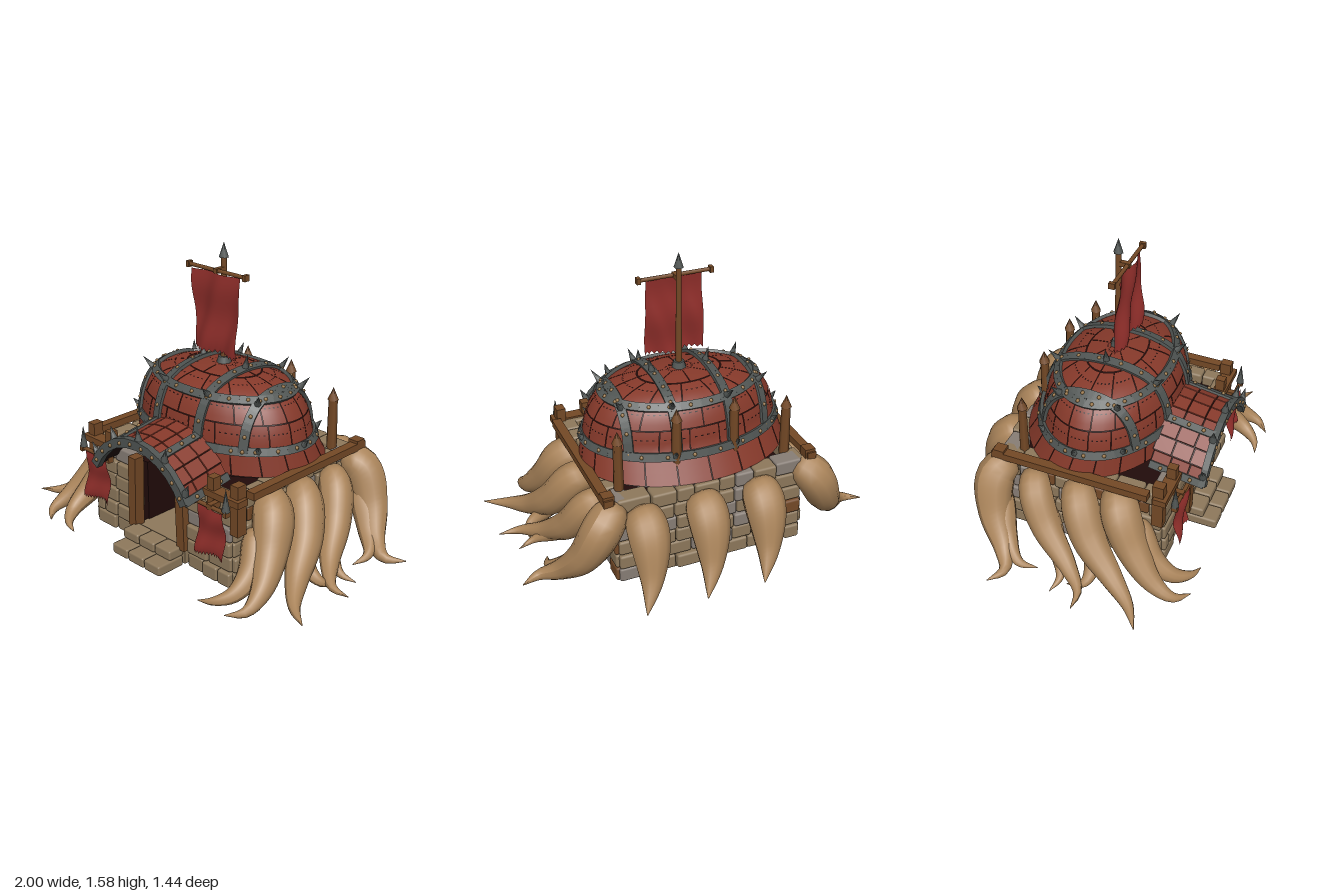
import * as THREE from 'three';
import { mergeGeometries } from 'three/addons/utils/BufferGeometryUtils.js';
import { RoundedBoxGeometry } from 'three/addons/geometries/RoundedBoxGeometry.js';

const V = (x, y, z) => new THREE.Vector3(x, y, z);
const material = (name, color, side = THREE.FrontSide) => {
  const m = new THREE.MeshStandardMaterial({ color, side });
  m.name = name;
  return m;
};

// Small repeatable random source
let seed = 7;
const rand = () => (seed = (seed * 16807) % 2147483647) / 2147483647;

const box = (w, h, d, x, y, z) => new THREE.BoxGeometry(w, h, d).translate(x, y, z);
const stone = (w, h, d, x, y, z) => new RoundedBoxGeometry(w, h, d, 1, 0.012).translate(x, y, z);

// Flat bar from a to b whose upper face looks along up
function bar(a, b, up, w, th, extra = 0.006) {
  const dir = b.clone().sub(a), len = dir.length();
  dir.normalize();
  const side = up.clone().cross(dir).normalize();
  const m = new THREE.Matrix4().makeBasis(side, dir.clone().cross(side), dir);
  m.setPosition(a.clone().add(b).multiplyScalar(0.5));
  return new THREE.BoxGeometry(w, th, len + extra).applyMatrix4(m);
}
function spike(p, dir, h = 0.09, r = 0.022) {
  const q = new THREE.Quaternion().setFromUnitVectors(V(0, 1, 0), dir.clone().normalize());
  return new THREE.ConeGeometry(r, h, 6).translate(0, h / 2, 0).applyQuaternion(q).translate(p.x, p.y, p.z);
}
const rivet = (p) => new THREE.SphereGeometry(0.011, 6, 4).translate(p.x, p.y, p.z);

// Oval dome: relative radius against height; the skirt flares backwards
const RX = 0.575, RZ = 0.38, CZ = 0.04;
const profile = new THREE.SplineCurve([[1, 0.5], [0.94, 0.63], [0.88, 0.76], [0.72, 0.87], [0.4, 0.925], [0.001, 0.945]]
  .map(([x, y]) => new THREE.Vector2(x, y)));
function domePoint(a, t, s = 1) {
  const p = profile.getPoint(t), f = Math.min(1, (p.y - 0.5) / 0.16);
  const rz = RZ + 0.03 * (1 - f);
  return V(Math.sin(a) * p.x * RX * s, p.y - (1 - s) * 0.5, CZ * f + Math.cos(a) * p.x * rz * s);
}
const domeNormal = (p) => V(p.x / RX ** 2, (p.y - 0.45) / 0.23, (p.z - CZ) / RZ ** 2).normalize();
function onDome(x, z) {
  const r = Math.hypot(x / RX, (z - CZ) / RZ);
  let lo = 0, hi = 1;
  for (let i = 0; i < 24; i++) {
    const mid = (lo + hi) / 2;
    if (profile.getPoint(mid).x > r) lo = mid; else hi = mid;
  }
  return V(x, profile.getPoint(lo).y, z);
}
// Patch of the dome between angles and profile heights
function domePatch(a0, a1, t0, t1, s, nu, nv) {
  const g = new THREE.PlaneGeometry(1, 1, nu, nv), p = g.attributes.position;
  for (let k = 0; k < p.count; k++) {
    const q = domePoint(a0 + (a1 - a0) * (p.getX(k) + 0.5), t0 + (t1 - t0) * (p.getY(k) + 0.5), s);
    p.setXYZ(k, q.x, q.y, q.z);
  }
  g.computeVertexNormals();
  return g;
}

// Curved tusk with a fat root and thin tip, clipped at the ground
function tusk(points, radius, peak = 0.45) {
  const curve = new THREE.CatmullRomCurve3(points.map((p) => V(...p)));
  const n = 24, m = 12, g = new THREE.TubeGeometry(curve, n, radius, m);
  const pos = g.attributes.position, v = V();
  for (let i = 0; i <= n; i++) {
    const c = curve.getPointAt(i / n), f = Math.max(0.01, Math.sin(Math.PI * (i / n) ** peak)) ** 0.85;
    for (let j = 0; j <= m; j++) {
      const k = i * (m + 1) + j;
      v.fromBufferAttribute(pos, k).sub(c).multiplyScalar(f).add(c);
      pos.setXYZ(k, v.x, Math.max(v.y, 0.003), v.z);
    }
  }
  g.computeVertexNormals();
  return g;
}

// Hanging cloth with folds and a ragged hem
function cloth(w, h, x, top, z) {
  const g = new THREE.PlaneGeometry(w, h, 24, 12), p = g.attributes.position;
  for (let i = 0; i < p.count; i++) {
    const down = 0.5 - p.getY(i) / h;
    p.setZ(i, Math.sin(p.getX(i) * 30 + down * 4) * (0.012 + 0.008 * down) + Math.sin(down * 9) * 0.006);
    if (down > 0.99) p.setY(i, p.getY(i) + (i % 2 ? 0.016 : 0));
  }
  g.computeVertexNormals();
  return g.translate(x, top - h / 2, z);
}

export function createModel() {
  seed = 7;
  const model = new THREE.Group();
  const red = material('red roof plate', 0x86392a), fabric = material('red cloth', 0x922f2b, THREE.DoubleSide);
  const iron = material('dark iron', 0x505553), horn = material('tan horn', 0xaa845a);
  const wood = material('brown wood', 0x744926), tan = material('tan stone', 0x8e795c);
  const grey = material('grey stone', 0x887e76), brown = material('brown stone', 0x754a28);
  const dark = material('dark interior', 0x210b0a), brass = material('brass rivet', 0x967242);
  const add = (name, mat, geos) => {
    const mesh = new THREE.Mesh(mergeGeometries(geos.map((g) => (g.index ? g.toNonIndexed() : g))), mat);
    mesh.name = name;
    model.add(mesh);
  };

  // Dark core with the doorway recess, and floor
  add('interior', dark, [
    box(0.33, 0.42, 0.82, 0.335, 0.23, 0.03), box(0.33, 0.42, 0.82, -0.335, 0.23, 0.03),
    box(0.36, 0.42, 0.48, 0, 0.23, -0.14), box(0.36, 0.03, 0.4, 0, 0.515, 0.24)]);
  add('floor', tan, [box(0.98, 0.02, 0.84, 0, 0.012, 0.02), box(0.36, 0.1, 0.42, 0, 0.055, 0.3)]);

  // Stone walls laid in courses
  const stones = [[], [], []];
  const wall = (from, to, brownShare, place) => {
    const rows = 6, h = 0.5 / rows;
    for (let r = 0; r < rows; r++) {
      for (let s = from; s < to - 0.01;) {
        let w = 0.09 + rand() * 0.07;
        if (to - s - w < 0.06) w = to - s;
        const pick = rand(), kind = pick < brownShare ? 2 : pick < brownShare + 0.22 ? 1 : 0;
        stones[kind].push(place(s + w / 2, (r + 0.5) * h, w - 0.004, h - 0.004, (rand() - 0.5) * 0.02));
        s += w;
      }
    }
  };
  wall(-0.52, 0.52, 0.1, (s, y, w, h, o) => stone(w, h, 0.1, s, y, -0.365 + o));
  for (const m of [-1, 1]) {
    wall(-0.4, 0.5, 0.12, (s, y, w, h, o) => stone(0.08, h, w, m * (0.49 + o), y, s));
    wall(0.2, 0.51, 0, (s, y, w, h, o) => stone(w, h, 0.08, m * s, y, 0.475 + o));
  }
  ['tanStones', 'greyStones', 'brownStones'].forEach((name, i) => add(name, [tan, grey, brown][i], stones[i]));
  const steps = [];
  for (let i = 0; i < 3; i++) {
    steps.push(stone(0.118, 0.058, 0.17, (i - 1) * 0.122, 0.03, 0.605), stone(0.118, 0.056, 0.1, (i - 1) * 0.122, 0.088, 0.565));
  }
  add('steps', tan, steps);

  // Dome: dark shell under separate plates, with rows of slits
  const base = new THREE.CircleGeometry(1, 40).rotateX(Math.PI / 2).scale(RX * 0.98, 1, 0.4).translate(0, 0.5, 0);
  add('domeSeams', dark, [domePatch(0, Math.PI * 2, 0, 1, 0.985, 60, 20), base]);
  const plates = [], slits = [];
  [20, 20, 18, 14, 8].forEach((n, row) => {
    const step = Math.PI * 2 / n;
    for (let i = 0; i < n; i++) {
      const a = (i + (row % 2) / 2) * step;
      plates.push(domePatch(a + 0.012 * step, a + 0.988 * step, (row + 0.015) / 5, (row + 0.985) / 5, 1, 4, 4));
      if (row === 0) continue;
      for (let k = 1; k < 5; k++) {
        const b = a + step * k / 5;
        slits.push(domePatch(b - 0.04 * step, b + 0.04 * step, (row + 0.6) / 5, (row + 0.65) / 5, 1.004, 1, 1));
      }
    }
  });
  add('domePlates', red, plates);
  add('domeSlits', dark, slits);

  // Iron bands, rivets and spikes
  const bands = [], rivets = [], spikes = [];
  const band = (pts, w, every) => pts.forEach((p, i) => {
    const up = domeNormal(p);
    if (i < pts.length - 1) bands.push(bar(p, pts[i + 1], up, w, 0.03));
    if (i % every === 1) rivets.push(rivet(p.clone().addScaledVector(up, 0.014)));
  });
  for (const t of [0.2, 0.585]) band(Array.from({ length: 49 }, (_, i) => domePoint(i * Math.PI / 24, t)), 0.045, 2);
  for (const x of [-0.38, -0.15, 0.15, 0.38]) {
    const reach = RZ * Math.sqrt(0.94 ** 2 - (x / RX) ** 2);
    band(Array.from({ length: 29 }, (_, i) => onDome(x, CZ + reach * Math.sin((i / 28 - 0.5) * Math.PI))), 0.05, 3);
    for (const z of Math.abs(x) < 0.2 ? [-0.26, 0, 0.26] : [-0.15, 0.15]) {
      const p = onDome(x, CZ + z);
      spikes.push(spike(p, domeNormal(p)));
    }
  }
  for (let i = 0; i < 10; i++) {
    const p = domePoint((i + 0.5) * Math.PI / 5, 0.2);
    spikes.push(spike(p, domeNormal(p).setY(1), 0.06));
  }

  // Arched porch roof sloping towards the front
  const R = 0.37, porch = [], lining = [];
  const arch = (a, z, r = R) => V(Math.sin(a) * r, 0.29 + Math.cos(a) * r + (0.65 - z) * 0.15, z);
  const radial = (a) => V(Math.sin(a), Math.cos(a), 0);
  const N = 10, span = 2.25, ang = (i) => (i / N - 0.5) * span, panel = R * span / N;
  for (let i = 0; i < N; i++) {
    const a = ang(i + 0.5);
    for (const z of [0.36, 0.46, 0.56]) porch.push(bar(arch(a, z + 0.003), arch(a, z + 0.097), radial(a), panel - 0.004, 0.02, 0));
    lining.push(bar(arch(a, 0.36, R - 0.011), arch(a, 0.65, R - 0.011), radial(a), panel, 0.014));
    bands.push(bar(arch(ang(i), 0.645), arch(ang(i + 1), 0.645), radial(a), 0.035, 0.05));
    rivets.push(rivet(arch(a, 0.662)));
  }
  for (const a of [-1.1, -0.42, 0.42, 1.1]) {
    bands.push(bar(arch(a, 0.36, R + 0.012), arch(a, 0.65, R + 0.012), radial(a), 0.04, 0.02));
    for (const z of [0.42, 0.5, 0.58]) rivets.push(rivet(arch(a, z, R + 0.024)));
  }
  for (const a of [-1, -0.5, 0, 0.5, 1]) spikes.push(spike(arch(a, 0.64, R + 0.02), V(Math.sin(a) * 0.6, 1, 0.1), 0.075));
  add('porchPlates', red, porch);
  add('porchLining', dark, lining);

  // Timber: side rails, posts, banner rods and flagpole
  const timber = [], cloths = [];
  const stake = (x, y0, y1, z) => timber.push(
    new THREE.CylinderGeometry(0.024, 0.028, y1 - y0 - 0.06, 6).translate(x, (y0 + y1 - 0.06) / 2, z),
    new THREE.ConeGeometry(0.03, 0.07, 6).translate(x, y1 - 0.03, z));
  const rod = (len, x, y, z) => timber.push(new THREE.CylinderGeometry(0.011, 0.011, len, 8).rotateZ(Math.PI / 2).translate(x, y, z),
    box(0.02, 0.032, 0.032, x - len / 2, y, z), box(0.02, 0.032, 0.032, x + len / 2, y, z));
  for (const m of [-1, 1]) {
    timber.push(
      box(0.05, 0.04, 0.86, m * 0.57, 0.51, 0.01), box(0.06, 0.07, 0.06, m * 0.565, 0.51, -0.38),
      box(0.05, 0.27, 0.06, m * 0.535, 0.44, 0.485), box(0.045, 0.15, 0.05, m * 0.385, 0.5, 0.5),
      box(0.24, 0.035, 0.07, m * 0.46, 0.49, 0.5), box(0.03, 0.03, 0.1, m * 0.43, 0.45, 0.53),
      box(0.055, 0.4, 0.06, 0, 0, 0).rotateZ(m * 0.03).translate(m * 0.18, 0.3, 0.515));
    stake(m * 0.47, 0.48, 0.83, -0.29);
    stake(m * 0.16, 0.55, 0.9, -0.31);
    rod(0.22, m * 0.43, 0.45, 0.57);
    spikes.push(spike(V(m * 0.535, 0.46, 0.57), V(0, 1, 0), 0.12));
    cloths.push(cloth(0.18, 0.27, m * 0.43, 0.445, 0.575));
  }
  timber.push(new THREE.CylinderGeometry(0.015, 0.018, 0.6, 8).translate(0, 1.21, 0.04), box(0.025, 0.025, 0.07, 0, 1.44, 0.07));
  rod(0.4, 0, 1.44, 0.09);
  cloths.push(cloth(0.32, 0.43, 0, 1.43, 0.1));
  spikes.push(spike(V(0, 1.5, 0.04), V(0, 1, 0), 0.08, 0.026));
  bands.push(new THREE.CylinderGeometry(0.03, 0.045, 0.05, 8).translate(0, 0.95, 0.04));
  add('timberFrame', wood, timber);
  add('banners', fabric, cloths);
  add('ironBands', iron, bands);
  add('ironSpikes', iron, spikes);
  add('rivets', brass, rivets);

  // Tusks: four forked trunks mirrored along the sides, three plain ones at the back
  const sidePaths = [
    [[[0.5, 0.45, -0.33], [0.59, 0.38, -0.4], [0.69, 0.2, -0.37], [0.8, 0.07, -0.27], [0.9, 0.03, -0.22], [1, 0.03, -0.27]], 0.105],
    [[[0.6, 0.3, -0.38], [0.74, 0.11, -0.28], [0.83, 0.04, -0.17], [0.81, 0.015, -0.07]], 0.07],
    [[[0.5, 0.42, -0.21], [0.59, 0.36, -0.18], [0.68, 0.2, -0.08], [0.78, 0.08, 0.08], [0.89, 0.035, 0.19], [1, 0.03, 0.2]], 0.09],
    [[[0.6, 0.3, -0.14], [0.72, 0.11, 0], [0.84, 0.04, 0.07], [0.93, 0.015, 0.05]], 0.065],
    [[[0.5, 0.43, 0.03], [0.59, 0.37, 0.07], [0.69, 0.21, 0.17], [0.78, 0.09, 0.33], [0.88, 0.04, 0.46], [1, 0.03, 0.54]], 0.1],
    [[[0.6, 0.3, 0.13], [0.73, 0.11, 0.21], [0.83, 0.04, 0.2], [0.85, 0.015, 0.11]], 0.065],
    [[[0.48, 0.44, 0.25], [0.58, 0.38, 0.29], [0.66, 0.22, 0.39], [0.73, 0.09, 0.53], [0.74, 0.035, 0.65], [0.67, 0.02, 0.72]], 0.105],
    [[[0.55, 0.31, 0.36], [0.62, 0.14, 0.48], [0.62, 0.06, 0.6], [0.56, 0.03, 0.68], [0.48, 0.015, 0.71]], 0.075]];
  const tusks = [];
  for (const m of [-1, 1]) {
    for (const [pts, r] of sidePaths) tusks.push(tusk(pts.map(([x, y, z]) => [m * x, y, z]), r));
  }
  for (const x of [-0.25, 0.07, 0.4]) {
    tusks.push(tusk([[x, 0.44, -0.38], [x - 0.01, 0.34, -0.49], [x + 0.02, 0.14, -0.61], [x + 0.09, 0.015, -0.72]], 0.11, 0.5));
  }
  add('tusks', horn, tusks);
  return model;
}
